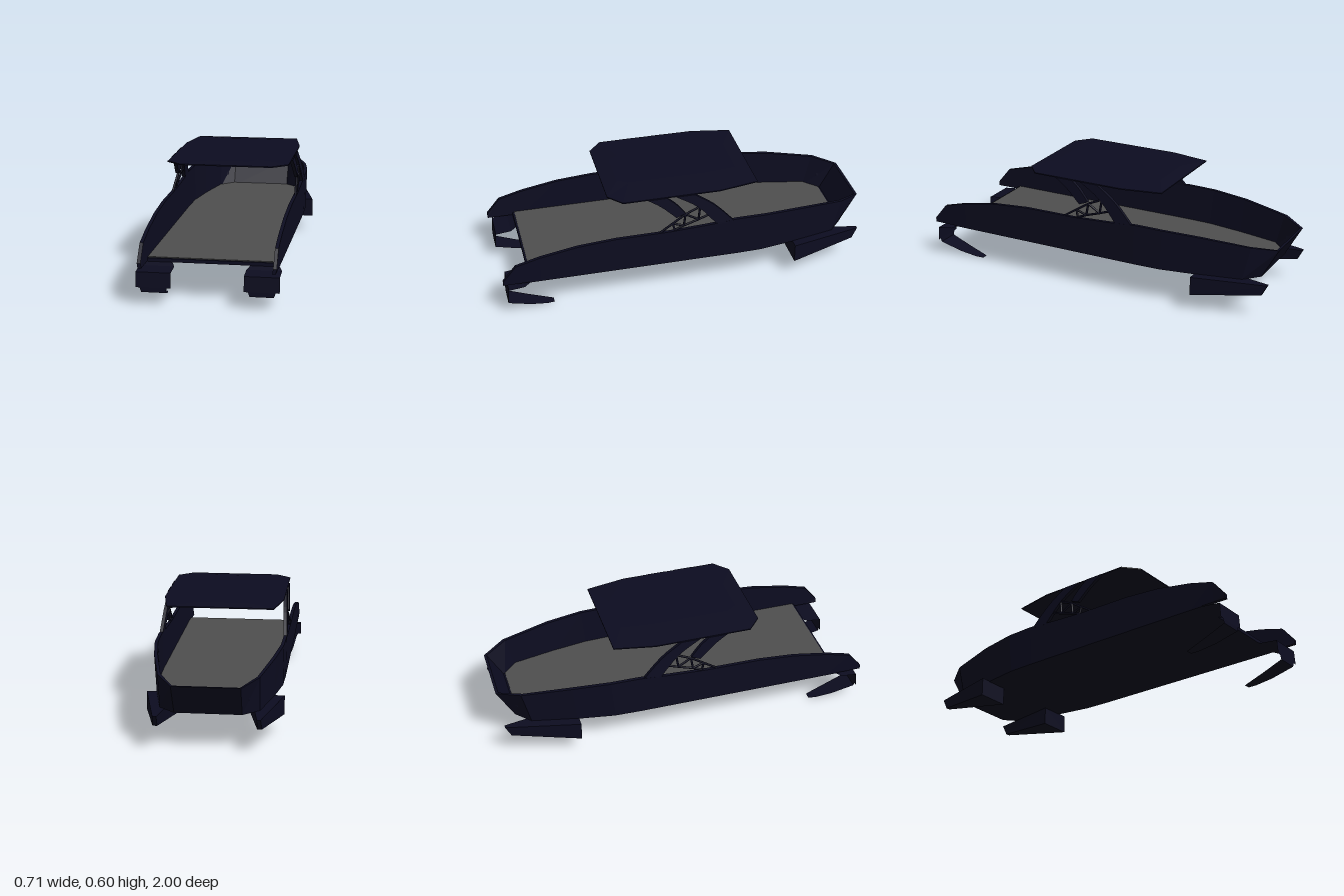
import * as THREE from 'three';

const navy = new THREE.MeshStandardMaterial({ color: 0x0c0c20, side: THREE.DoubleSide });
navy.name = 'navy paint';
const grey = new THREE.MeshStandardMaterial({ color: 0x4e4e4e });
grey.name = 'grey deck';

// Faceted skin through cross-sections; rows are lists of [x, y, z]
function loft(rows, { closed = false, caps = false } = {}) {
  const pos = [];
  const n = rows[0].length;
  for (let i = 0; i + 1 < rows.length; i++) {
    for (let j = 0; j < (closed ? n : n - 1); j++) {
      const k = (j + 1) % n;
      const [a, b, c, d] = [rows[i][j], rows[i][k], rows[i + 1][k], rows[i + 1][j]];
      pos.push(...a, ...b, ...c, ...a, ...c, ...d);
    }
  }
  if (caps) {
    const first = rows[0], last = rows[rows.length - 1];
    for (let j = 1; j + 1 < n; j++) {
      pos.push(...first[0], ...first[j + 1], ...first[j]);
      pos.push(...last[0], ...last[j], ...last[j + 1]);
    }
  }
  const g = new THREE.BufferGeometry();
  g.setAttribute('position', new THREE.Float32BufferAttribute(pos, 3));
  g.computeVertexNormals();
  return g;
}

// Horizontal slab from an [x, z] outline
function slab(outline, y, height) {
  const shape = new THREE.Shape(outline.map(([x, z]) => new THREE.Vector2(x, -z)));
  const g = new THREE.ExtrudeGeometry(shape, { depth: height, bevelEnabled: false });
  return g.rotateX(-Math.PI / 2).translate(0, y, 0);
}

// Mirror a half outline to the other side of the boat
const mirrored = half => [...half, ...half.map(([x, ...r]) => [-x, ...r]).reverse()];

export function createModel() {
  const model = new THREE.Group();
  const add = (name, geometry, material, parent = model) => {
    const mesh = new THREE.Mesh(geometry, material);
    mesh.name = name;
    parent.add(mesh);
    return mesh;
  };

  // Hull wall swept from one stern corner around the raked bow to the other:
  // top x, z, y, then bottom x, z, then inward offset in x and z
  const stations = [
    [0.342, 1, 0.215, 0.338, 1, 0.018, 0],
    [0.342, 0.93, 0.3, 0.338, 0.93, 0.018, 0],
    [0.342, 0.8, 0.335, 0.338, 0.8, 0.018, 0],
    [0.342, 0.6, 0.37, 0.338, 0.6, 0.018, 0],
    [0.342, 0.4, 0.385, 0.338, 0.4, 0.018, 0],
    [0.342, 0.1, 0.387, 0.338, 0.1, 0.018, 0],
    [0.342, -0.1, 0.397, 0.338, -0.1, 0.018, 0],
    [0.342, -0.26, 0.41, 0.338, -0.25, 0.018, 0],
    [0.338, -0.42, 0.408, 0.334, -0.4, 0.018, 0],
    [0.31, -0.62, 0.398, 0.302, -0.6, 0.018, 0.003],
    [0.252, -0.88, 0.372, 0.25, -0.835, 0.014, 0.01],
    [0.17, -1, 0.35, 0.168, -0.91, 0.005, 0.014],
  ];
  const section = ([xt, zt, yt, xb, zb, dx, dz]) => [
    [xb, 0.19, zb], [xt, yt, zt], [xt - dx, yt, zt + dz], [xb - dx, 0.19, zb + dz],
  ];
  const side = stations.map(section);
  const otherSide = side.map(row => row.map(([x, y, z]) => [-x, y, z])).reverse();
  add('hullWall', loft([...side, ...otherSide], { closed: true, caps: true }), navy);

  // Floor, with the grey deck on top
  const floor = mirrored([[0.338, 0.86], [0.338, -0.25], [0.334, -0.4], [0.302, -0.6], [0.25, -0.835], [0.168, -0.91]]);
  add('hullBottom', slab(floor, 0.187, 0.018), navy);
  const deck = mirrored([[0.32, 0.85], [0.32, -0.25], [0.315, -0.4], [0.284, -0.6], [0.237, -0.825], [0.163, -0.896]]);
  add('deck', slab(deck, 0.205, 0.004), grey);

  // Thin cambered roof
  const roof = mirrored([[0.24, 0.42], [0.32, 0.35], [0.32, -0.17], [0.28, -0.385]]);
  const ring = (y, s) => roof.map(([x, z]) => [x * s, y, 0.015 + (z - 0.015) * (s < 1 ? 0.8 : 1)]);
  add('roof', loft([ring(0.585, 1), ring(0.591, 1), ring(0.599, 0.45)], { closed: true, caps: true }), navy);

  // Curved roof supports, as [z, y] side profiles leaning inward
  const lean = y => 0.333 - (y - 0.4) * 0.085;
  const support = (front, back) => {
    const curve = pts => new THREE.SplineCurve(pts.map(p => new THREE.Vector2(...p))).getPoints(8);
    const f = curve(front), b = curve(back);
    return loft(f.map((p, i) => {
      const q = b[i];
      return [
        [lean(p.y) + 0.009, p.y, p.x], [lean(q.y) + 0.009, q.y, q.x],
        [lean(q.y) - 0.009, q.y, q.x], [lean(p.y) - 0.009, p.y, p.x],
      ];
    }), { closed: true, caps: true });
  };
  const bar = ([z1, y1], [z2, y2]) => {
    const a = new THREE.Vector3(lean(y1), y1, z1), b = new THREE.Vector3(lean(y2), y2, z2);
    return new THREE.TubeGeometry(new THREE.LineCurve3(a, b), 1, 0.006, 6);
  };
  const upper = [[0.16, 0.385], [0.09, 0.43], [0.02, 0.475], [-0.06, 0.51]];
  const lower = [[0.08, 0.39], [0.03, 0.41], [-0.05, 0.435], [-0.12, 0.46]];

  // Forward pod: tapering wedge, [z, outer x, inner x, top y, bottom y]
  const pod = loft([[-0.59, 0.355, 0.18, 0.19, 0.09], [-0.95, 0.268, 0.245, 0.187, 0.13]].map(
    ([z, xo, xi, t, b], i) => [[xo, b, z], [xo - i * 0.004, t, z - i * 0.03], [xi, t, z - i * 0.03], [xi, b, z]],
  ), { closed: true, caps: true });

  // Stern drive sheets: [z, y, half width]
  const strip = rows => loft(rows.map(([z, y, w]) => [[0.267 - w, y, z], [0.267 + w, y, z]]));

  for (const s of [1, -1]) {
    const half = new THREE.Group();
    half.name = s > 0 ? 'leftFittings' : 'rightFittings';
    half.scale.x = s;
    model.add(half);

    add('rearRoofSupport', support(
      [[0.22, 0.588], [0.15, 0.54], [0.07, 0.465]],
      [[0.12, 0.588], [0.07, 0.545], [0.02, 0.485]]), navy, half);
    add('mainRoofSupport', support(
      [[0.07, 0.588], [-0.05, 0.51], [-0.15, 0.395]],
      [[-0.03, 0.588], [-0.14, 0.51], [-0.245, 0.4]]), navy, half);
    for (let i = 0; i < 4; i++) {
      if (i < 3) {
        add('trussUpperBar', bar(upper[i], upper[i + 1]), navy, half);
        add('trussLowerBar', bar(lower[i], lower[i + 1]), navy, half);
        add('trussDiagonal', bar(lower[i], upper[i + 1]), navy, half);
      }
      if (i > 0) add('trussPost', bar(lower[i], upper[i]), navy, half);
    }

    add('forwardPod', pod, navy, half);
    add('driveBracket', strip([
      [0.86, 0.187, 0.073], [0.89, 0.175, 0.0875], [0.975, 0.165, 0.0875], [0.98, 0.088, 0.0875]]), navy, half);
    add('driveFoil', strip([
      [0.98, 0.088, 0.068], [0.98, 0.065, 0.059], [0.86, 0.027, 0.046],
      [0.77, 0.006, 0.03], [0.73, 0, 0.018]]), navy, half);
  }
  return model;
}
